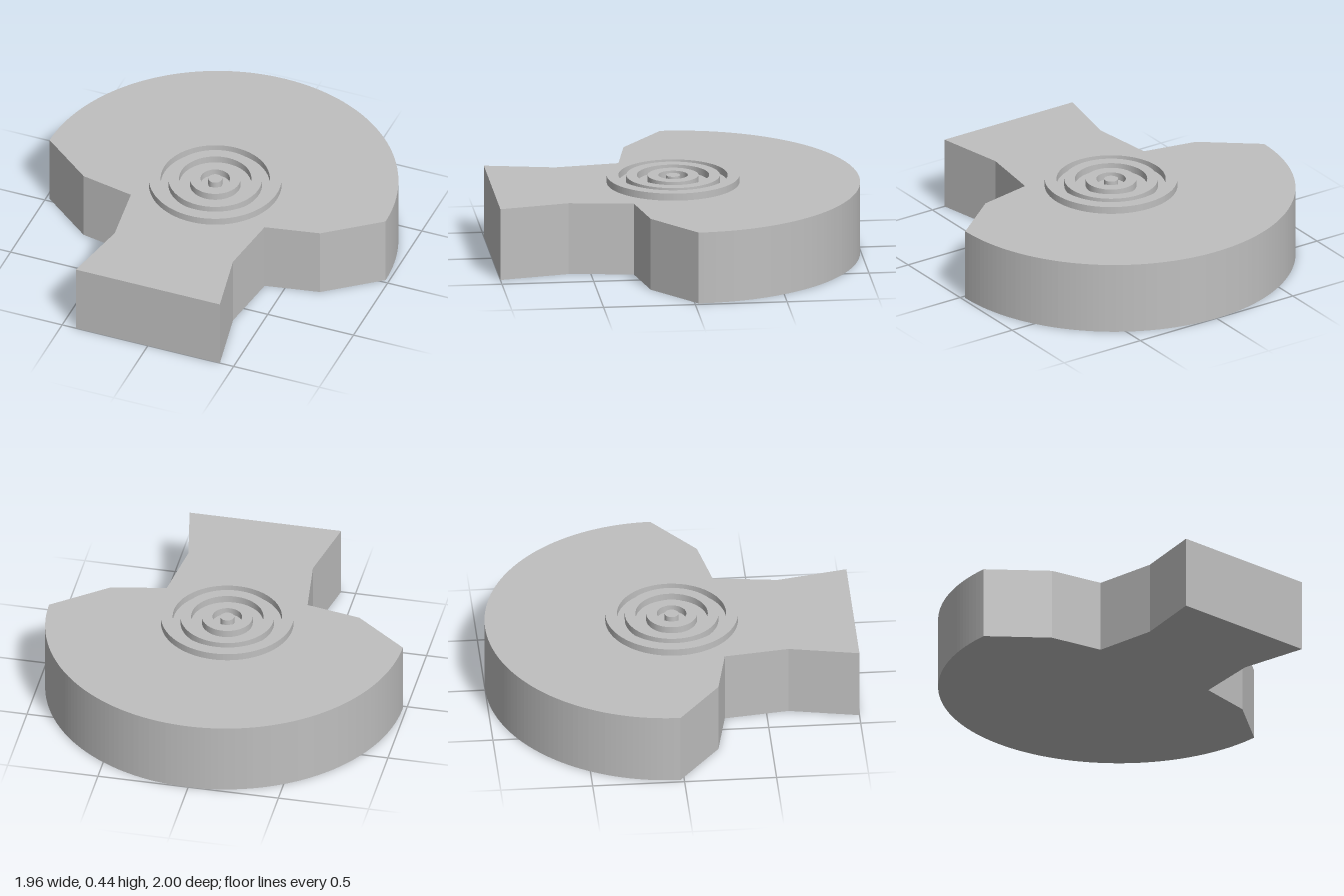
import * as THREE from 'three';

const BODY_HEIGHT = 0.4;
const RING_HEIGHT = 0.04;

// Extrude a plan shape (shape y = -z) upwards from the given height
function extrudeUp(name, shape, y, height, material, curveSegments) {
  const geometry = new THREE.ExtrudeGeometry(shape, { depth: height, bevelEnabled: false, curveSegments });
  geometry.rotateX(-Math.PI / 2);
  const mesh = new THREE.Mesh(geometry, material);
  mesh.name = name;
  mesh.position.y = y;
  return mesh;
}

export function createModel() {
  const group = new THREE.Group();
  group.name = 'mushroomPlate';
  const grey = new THREE.MeshStandardMaterial({ color: 0xbfbfbf });
  grey.name = 'plain grey';

  // Body: half-round cap, angled shoulders and a waisted stem, mirrored in x
  const side = [[0.69, 0.21], [0.39, 0.27], [0.345, 0.62], [0.42, 1]];
  const plan = new THREE.Shape();
  plan.absarc(0, 0.02, 0.98, 0, Math.PI, false);
  side.forEach(([x, z]) => plan.lineTo(-x, -z));
  [...side].reverse().forEach(([x, z]) => plan.lineTo(x, -z));
  plan.closePath();
  group.add(extrudeUp('body', plan, 0, BODY_HEIGHT, grey, 48));

  // Raised concentric rings around a central button
  const target = new THREE.Group();
  target.name = 'raisedRings';
  target.position.z = 0.014;
  const rings = [
    ['outerRing', 0.36, 0.296],
    ['middleRing', 0.254, 0.196],
    ['innerRing', 0.138, 0.08],
    ['centreButton', 0.038, 0],
  ];
  for (const [name, outer, inner] of rings) {
    const ring = new THREE.Shape().absarc(0, 0, outer, 0, Math.PI * 2, false);
    if (inner > 0) ring.holes.push(new THREE.Path().absarc(0, 0, inner, 0, Math.PI * 2, true));
    target.add(extrudeUp(name, ring, BODY_HEIGHT, RING_HEIGHT, grey, 64));
  }
  group.add(target);
  return group;
}
